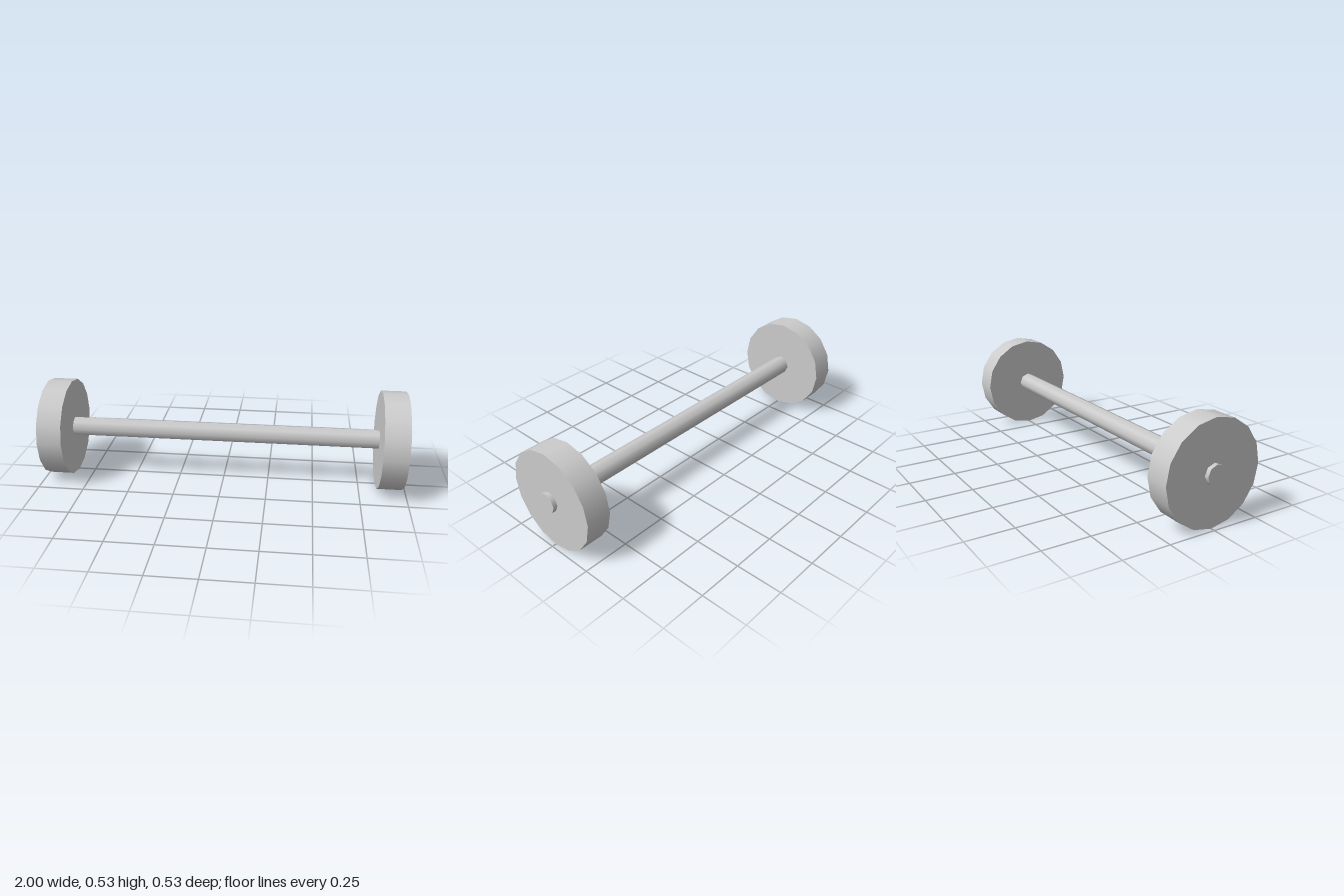
import * as THREE from 'three';

const WHEEL_RADIUS = 0.267;

export function createModel() {
  const group = new THREE.Group();
  group.name = 'wheelset';
  const material = new THREE.MeshStandardMaterial({ color: 0xcccccc });

  // Cylinder lying along x, with a corner pointing straight up
  const addRod = (name, radius, length, sides, x) => {
    const geometry = new THREE.CylinderGeometry(radius, radius, length, sides);
    geometry.rotateZ(Math.PI / 2);
    const mesh = new THREE.Mesh(geometry, material);
    mesh.name = name;
    mesh.position.set(x, WHEEL_RADIUS, 0);
    group.add(mesh);
    return mesh;
  };

  // Axle running through both wheels
  addRod('axle', 0.053, 2, 8, 0).position.y += 0.002;

  // Pair of solid wheels
  addRod('leftWheel', WHEEL_RADIUS, 0.133, 16, 0.911);
  addRod('rightWheel', WHEEL_RADIUS, 0.133, 16, -0.911);

  return group;
}
